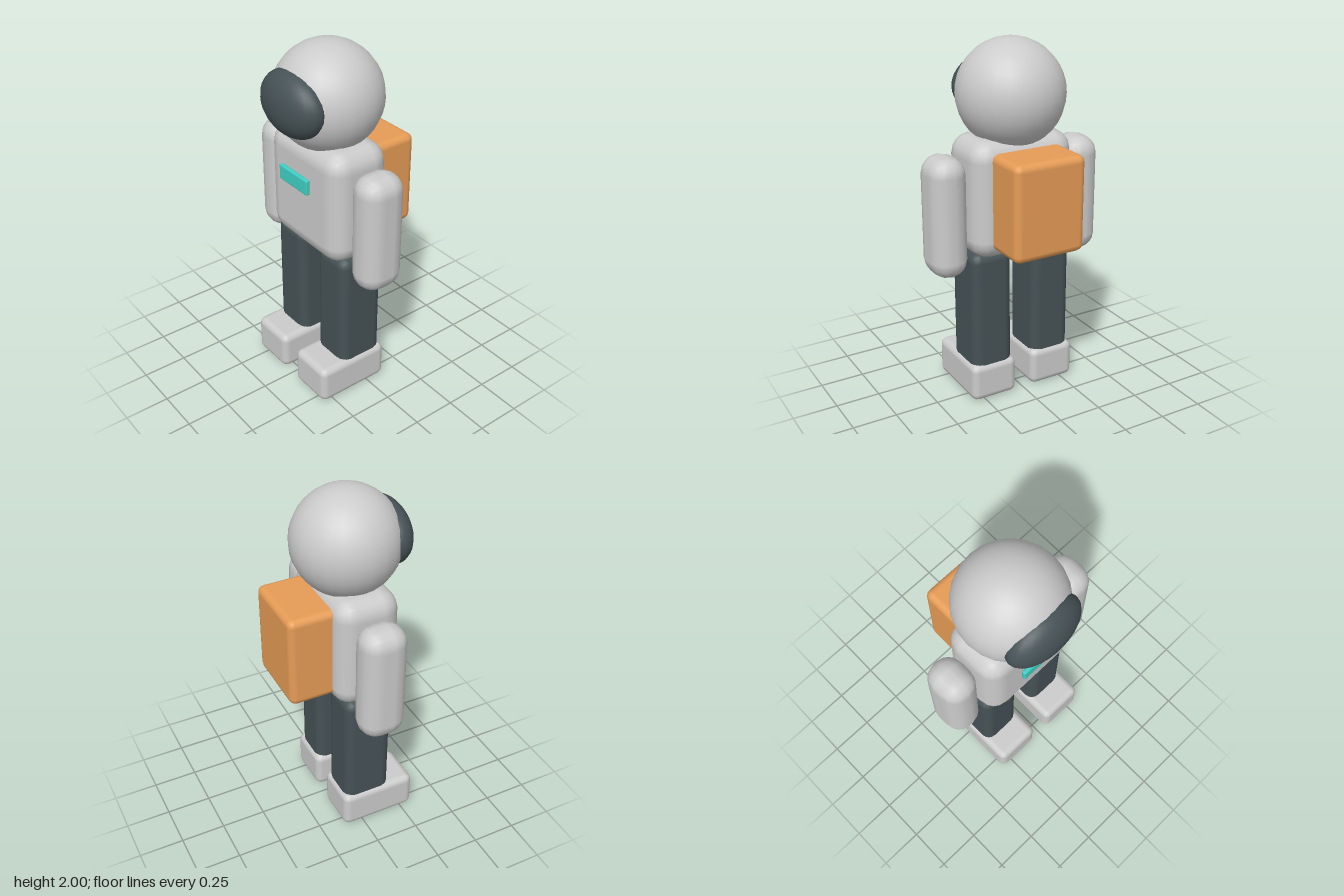
import * as THREE from 'three';
import { RoundedBoxGeometry } from 'three/addons/geometries/RoundedBoxGeometry.js';

const material = (color) => new THREE.MeshStandardMaterial({ color });

export function createModel() {
  const model = new THREE.Group();
  model.name = 'spaceSuitFigure';

  const suit = material(0xcccccc);
  const dark = material(0x465256);
  const orange = material(0xe69c56);
  const teal = material(0x40d0c4);

  // Rounded block given by its extents along each axis
  function block(name, mat, [x0, x1], [y0, y1], [z0, z1], radius, segments = 2) {
    const geometry = new RoundedBoxGeometry(x1 - x0, y1 - y0, z1 - z0, segments, radius);
    const mesh = new THREE.Mesh(geometry, mat);
    mesh.name = name;
    mesh.position.set((x0 + x1) / 2, (y0 + y1) / 2, (z0 + z1) / 2);
    model.add(mesh);
  }

  // Sphere stretched to the given radii
  function ellipsoid(name, mat, position, radii) {
    const mesh = new THREE.Mesh(new THREE.SphereGeometry(1, 24, 18), mat);
    mesh.name = name;
    mesh.position.set(...position);
    mesh.scale.set(...radii);
    model.add(mesh);
  }

  // Head
  ellipsoid('helmet', suit, [0, 1.705, 0.04], [0.295, 0.295, 0.295]);
  ellipsoid('visor', dark, [0, 1.715, 0.255], [0.23, 0.175, 0.12]);

  // Body
  block('torso', suit, [-0.305, 0.305], [0.845, 1.5], [-0.145, 0.225], 0.11);
  block('chestPanel', teal, [-0.12, 0.12], [1.243, 1.33], [0.245, 0.27], 0.008);
  block('backpack', orange, [-0.21, 0.21], [0.91, 1.44], [-0.38, -0.08], 0.04);

  // Limbs, mirrored left and right
  for (const [prefix, side] of [['left', 1], ['right', -1]]) {
    const span = (inner, outer) => (side > 0 ? [inner, outer] : [-outer, -inner]);
    block(prefix + 'Arm', suit, span(0.303, 0.512), [0.753, 1.425], [-0.093, 0.163], 0.1);
    block(prefix + 'Leg', dark, span(0.065, 0.307), [0.15, 0.88], [-0.1, 0.175], 0.055);
    block(prefix + 'Boot', suit, span(0.05, 0.325), [0, 0.22], [-0.117, 0.322], 0.04);
  }

  return model;
}
